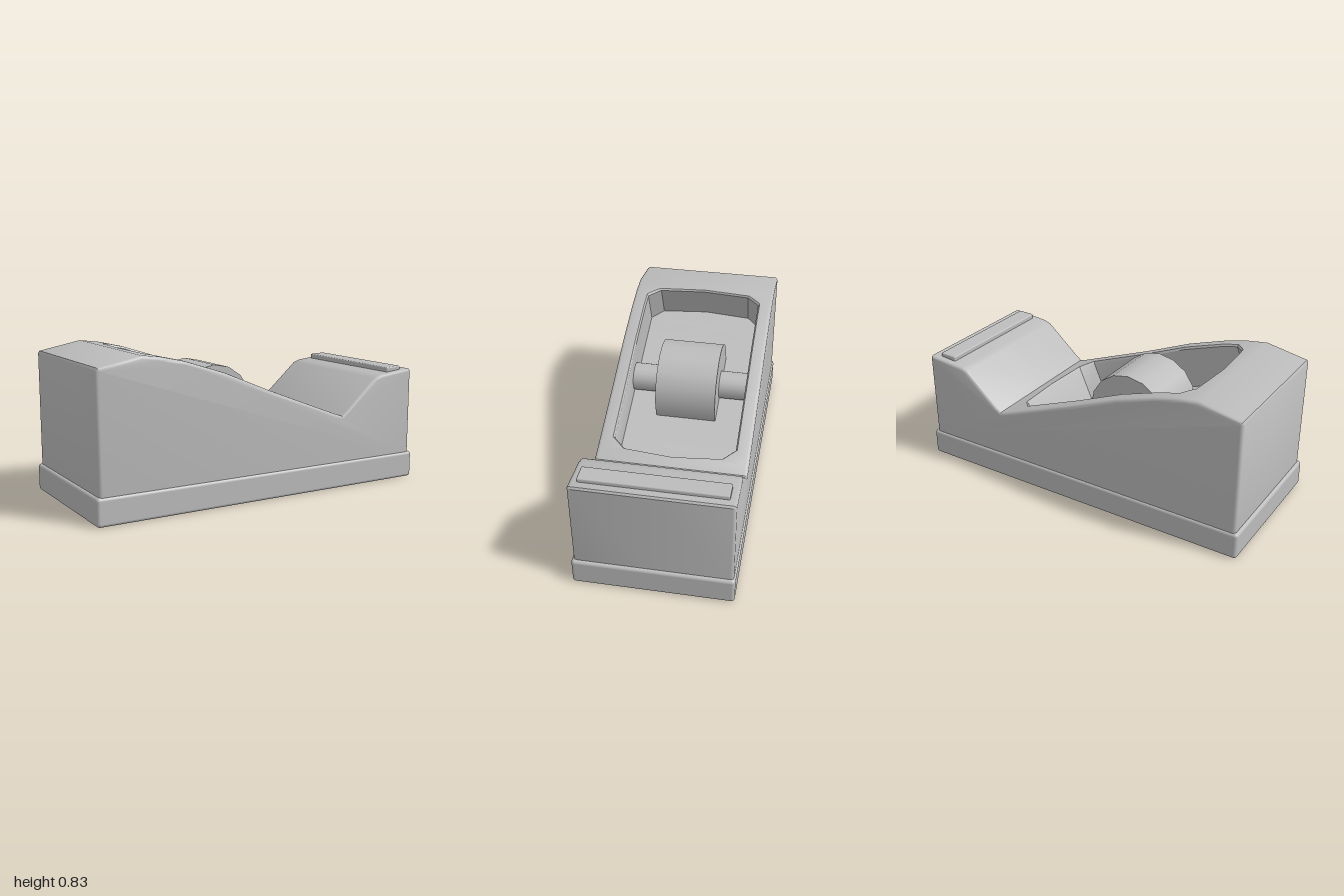
import * as THREE from 'three';
import { toCreasedNormals } from 'three/addons/utils/BufferGeometryUtils.js';
import { RoundedBoxGeometry } from 'three/addons/geometries/RoundedBoxGeometry.js';

const V = (x, y, z) => new THREE.Vector3(x, y, z);

// piecewise-linear lookup, zero outside the keys
function lookup(keys, x) {
  for (let i = 0; i < keys.length - 1; i++) {
    const [x0, y0] = keys[i], [x1, y1] = keys[i + 1];
    if (x >= x0 && x <= x1) return y0 + (y1 - y0) * (x - x0) / (x1 - x0);
  }
  return 0;
}

// side profile of the top, and half-width of the tape well along x
const TOP = [[-0.975, 0.785], [-0.74, 0.83], [-0.63, 0.815], [-0.5, 0.785], [-0.27, 0.71], [0, 0.597],
  [0.25, 0.5], [0.45, 0.423], [0.49, 0.41], [0.52, 0.432], [0.72, 0.607], [0.76, 0.622], [0.975, 0.643]];
const WELL = [[-0.68, 0], [-0.66, 0.27], [-0.6, 0.34], [0.35, 0.34], [0.41, 0.27], [0.43, 0]];
const HALF = 0.413, ROUND = 0.018, END = 0.983;

function bodyGeometry() {
  const pos = [];
  const tri = (a, b, c) => {
    const n = b.clone().sub(a).cross(c.clone().sub(a));
    if (n.length() > 1e-9) for (const p of [a, b, c]) pos.push(p.x, p.y, p.z);
  };
  const quad = (a, b, c, d) => { tri(a, b, c); tri(a, c, d); };

  // outline from bottom left, over the top, to bottom right
  const xs = [...new Set([...TOP, ...WELL].map(p => p[0]))].sort((a, b) => a - b);
  const path = [[-END, 0.13], [-END, 0.772], ...xs.map(x => [x, lookup(TOP, x)]), [END, 0.632], [END, 0.13]]
    .map(p => new THREE.Vector2(...p));
  const inward = path.map((p, i) => {
    const n = new THREE.Vector2();
    for (const k of [i - 1, i]) {
      if (k < 0 || k + 1 >= path.length) continue;
      const d = path[k + 1].clone().sub(path[k]).normalize();
      n.add(new THREE.Vector2(d.y, -d.x));
    }
    return n.normalize();
  });

  // cross-sections with rounded edges, open over the well
  const sections = path.map((p, i) => {
    const half = [];
    for (let k = 3; k >= 0; k--) {
      const t = k * Math.PI / 6, q = p.clone().addScaledVector(inward[i], ROUND * (1 - Math.cos(t)));
      half.push(V(q.x, q.y, HALF - ROUND + ROUND * Math.sin(t)));
    }
    half.push(V(p.x, p.y, lookup(WELL, p.x)));
    return [...half, ...half.map(q => V(q.x, q.y, -q.z)).reverse()];
  });
  for (let i = 0; i < path.length - 1; i++) {
    const A = sections[i], B = sections[i + 1];
    for (let j = 0; j < A.length - 1; j++) if (j !== 4) quad(A[j], B[j], B[j + 1], A[j + 1]);
  }

  // flat sides
  const contour = sections.map(s => new THREE.Vector2(s[0].x, s[0].y)).reverse();
  for (const [a, b, c] of THREE.ShapeUtils.triangulateShape(contour, [])) {
    const at = (k, z) => V(contour[k].x, contour[k].y, z);
    tri(at(a, HALF), at(b, HALF), at(c, HALF));
    tri(at(a, -HALF), at(c, -HALF), at(b, -HALF));
  }

  // well walls, sunk at right angles to the slope, with a softened rim
  const wx = xs.filter(x => x >= -0.68 && x <= 0.43);
  const loop = [...wx.map(x => [x, lookup(WELL, x)]),
    ...wx.slice(1, -1).reverse().map(x => [x, -lookup(WELL, x)])];
  const rim = loop.map(([x, z]) => V(x, lookup(TOP, x), z));
  const lip = rim.map(p => V(-0.125 + (p.x + 0.125) * 0.988 - 0.003, p.y - 0.012, p.z * 0.975));
  const floor = lip.map(p => V(p.x - 0.078, 0.62 - 0.35 * (p.x - 0.078 + 0.74), p.z));
  const n = loop.length;
  for (let i = 0; i < n; i++) {
    const k = (i + 1) % n;
    quad(rim[i], rim[k], lip[k], lip[i]);
    quad(lip[i], lip[k], floor[k], floor[i]);
  }
  // well floor
  for (let i = 0; i < wx.length - 1; i++) {
    quad(floor[i], floor[i + 1], floor[(n - i - 1) % n], floor[(n - i) % n]);
  }

  const g = new THREE.BufferGeometry();
  g.setAttribute('position', new THREE.Float32BufferAttribute(pos, 3));
  return toCreasedNormals(g, 0.6);
}

export function createModel() {
  const group = new THREE.Group();
  const grey = new THREE.MeshStandardMaterial({ color: 0xbcbcbc });
  grey.name = 'grey plastic';
  const add = (name, geometry, x = 0, y = 0, z = 0) => {
    const mesh = new THREE.Mesh(geometry, grey);
    mesh.name = name;
    mesh.position.set(x, y, z);
    group.add(mesh);
    return mesh;
  };

  add('base', new RoundedBoxGeometry(2, 0.15, 0.846, 3, 0.018), 0, 0.075, 0);
  add('body', bodyGeometry());

  // tape roll on its axle, partly sunk in the well floor
  const roller = (r, length) => new THREE.CylinderGeometry(r, r, length, 16).rotateX(Math.PI / 2);
  add('tapeRoll', roller(0.235, 0.34), -0.2, 0.485, 0);
  add('axle', roller(0.08, 0.68), -0.2, 0.485, 0);

  // cutter strip on the raised end
  add('cutterStrip', new RoundedBoxGeometry(0.1, 0.04, 0.75, 2, 0.008), 0.882, 0.638, 0).rotation.z = 0.04;

  return group;
}
